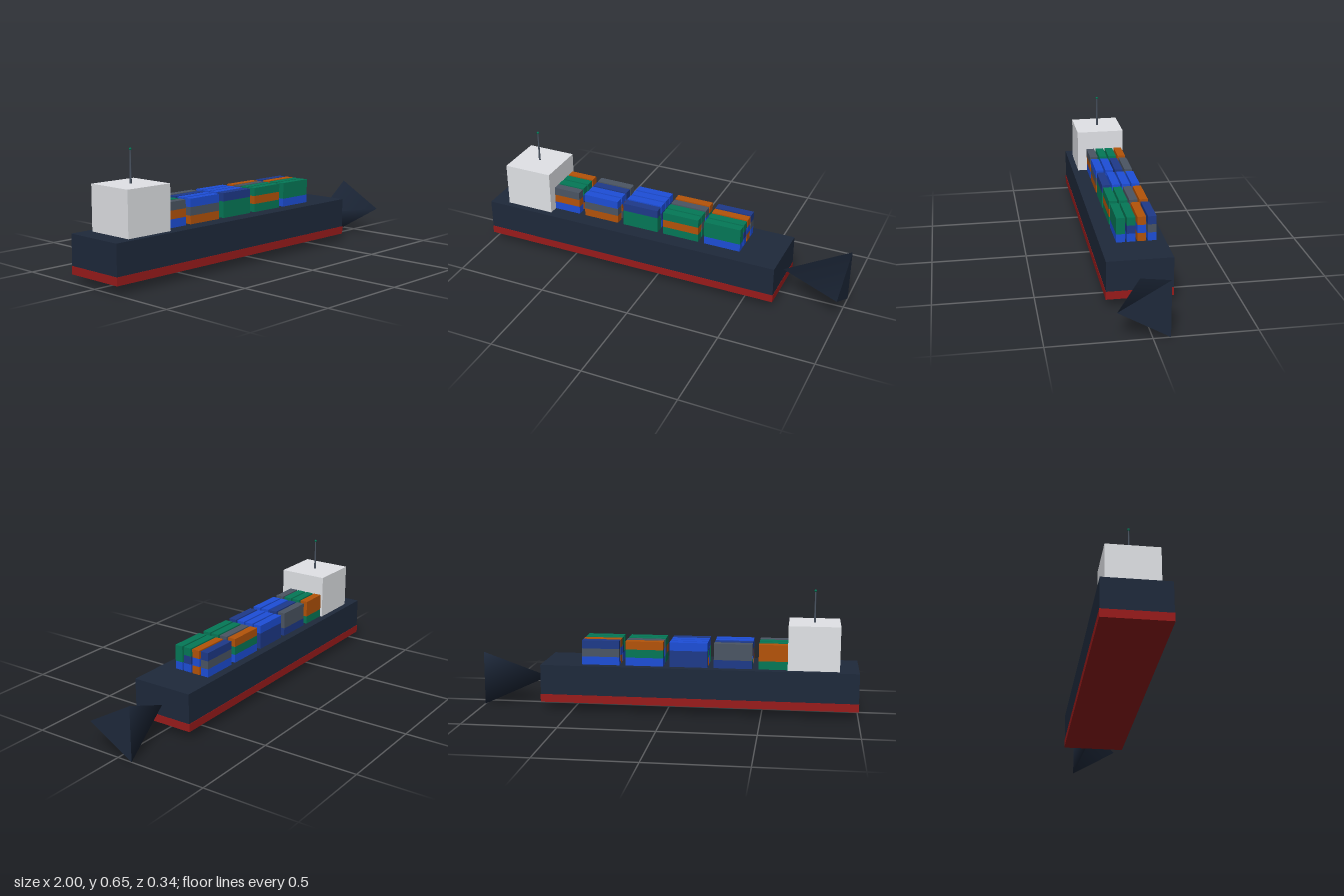
import * as THREE from 'three';

const material = (name, color) => {
  const m = new THREE.MeshStandardMaterial({ color });
  m.name = name;
  return m;
};

export function createModel() {
  const ship = new THREE.Group();
  ship.name = 'containerShip';

  const navyHull = material('hullSlate', 0x1e293b);
  const red = material('keelRed', 0x991b1b);
  const white = material('bridgeWhite', 0xe5e7eb);
  const cargo = {
    B: material('cargoBlue', 0x1d4ed8),
    N: material('cargoNavy', 0x1e3a8a),
    G: material('cargoGreen', 0x047857),
    O: material('cargoOrange', 0xb45309),
    S: material('steelGray', 0x4b5563),
  };

  const add = (name, geometry, mat, x, y, z, parent = ship) => {
    const mesh = new THREE.Mesh(geometry, mat);
    mesh.name = name;
    mesh.position.set(x, y, z);
    parent.add(mesh);
    return mesh;
  };

  const midX = -0.1667; // hull centre
  const bottom = 0.044, deck = 0.244;

  // Hull, with a slightly wider red band around its foot
  const lift = 0.003;
  add('hull', new THREE.BoxGeometry(1.6667, deck - bottom - lift, 0.3333), navyHull,
    midX, (deck + bottom + lift) / 2, 0);
  add('waterlineBand', new THREE.BoxGeometry(1.669, 0.042, 0.337), red, midX, bottom + 0.021, 0);

  // Three-sided bow cone, its point touching the hull
  const bow = new THREE.ConeGeometry(0.1667, 0.3333, 3);
  bow.rotateZ(Math.PI / 2);
  add('bow', bow, navyHull, 0.8333, 0.1443, 0);

  // Bridge, mast and mast light
  const bridgeX = -0.7667;
  add('bridge', new THREE.BoxGeometry(0.2667, 0.2333, 0.2667), white, bridgeX, deck + 0.1167, 0);
  add('mast', new THREE.CylinderGeometry(0.0033, 0.0055, 0.1667, 8), cargo.S, bridgeX, 0.561, 0);
  add('mastLight', new THREE.SphereGeometry(0.0067, 12, 8), cargo.G, bridgeX, 0.644, 0);

  // Containers: rows run from -z to +z, columns stern to bow,
  // and each code lists a stack's colours from the deck up
  const stacks = [
    ['GOO', 'NSS', 'NNB', 'BGO', 'BSN'],
    ['BSG', 'GBN', 'OGB', 'NBS', 'OBO'],
    ['ONG', 'SOB', 'BNB', 'GSG', 'BNG'],
    ['BOS', 'OSB', 'GGN', 'GOG', 'BGG'],
  ];
  const size = 0.0433;
  const box = new THREE.BoxGeometry(0.2, size, size);
  const containers = new THREE.Group();
  containers.name = 'containers';
  ship.add(containers);
  stacks.forEach((row, r) => row.forEach((code, c) => {
    [...code].forEach((key, level) => {
      add('container', box, cargo[key],
        -0.5833 + c * 0.2333, deck + size * (level + 0.5), -0.1 + r * 0.0533, containers);
    });
  }));

  return ship;
}
